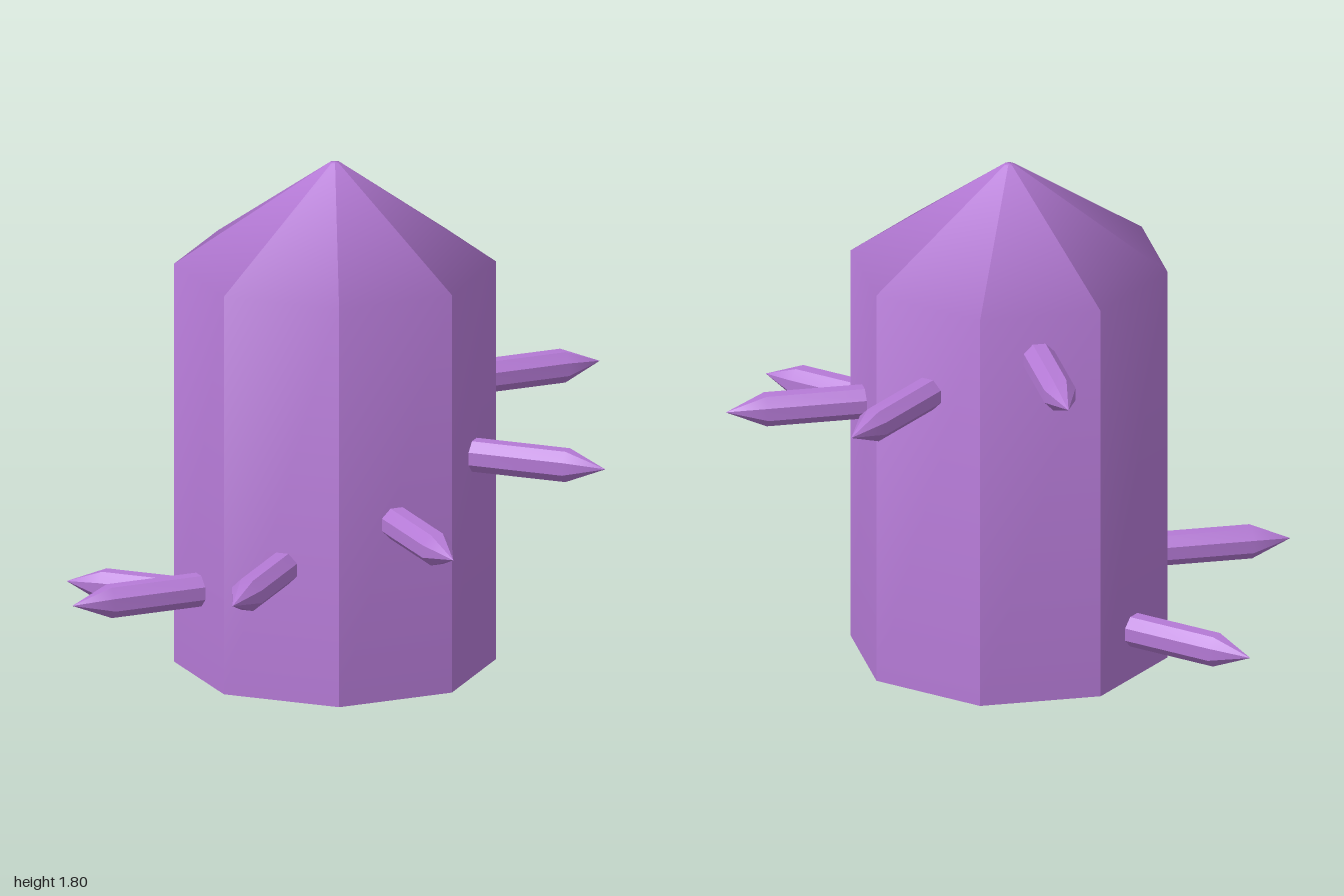
import * as THREE from 'three';

const SIDES = 8;
const FLAT = Math.cos(Math.PI / SIDES); // face distance / corner distance

// Eight-sided crystal along +y: sharp long edges, each side smooth along its length.
// profile: [face distance, height] pairs from base to tip.
function crystalGeometry(profile) {
  const positions = [];
  const indices = [];
  const corner = (i, [d, y]) => {
    const a = ((i - 0.5) / SIDES) * Math.PI * 2;
    const r = d / FLAT;
    return [Math.sin(a) * r, y, Math.cos(a) * r];
  };
  for (let i = 0; i < SIDES; i++) {
    const start = positions.length / 3;
    profile.forEach((p) => positions.push(...corner(i, p), ...corner(i + 1, p)));
    for (let j = 0; j < profile.length - 1; j++) {
      const a = start + j * 2;
      indices.push(a, a + 1, a + 3);
      if (profile[j + 1][0] > 0) indices.push(a, a + 3, a + 2);
    }
  }
  // Flat base
  const centre = positions.length / 3;
  positions.push(0, profile[0][1], 0);
  for (let i = 0; i < SIDES; i++) positions.push(...corner(i, profile[0]));
  for (let i = 0; i < SIDES; i++) {
    indices.push(centre, centre + 1 + ((i + 1) % SIDES), centre + 1 + i);
  }
  const geometry = new THREE.BufferGeometry();
  geometry.setAttribute('position', new THREE.Float32BufferAttribute(positions, 3));
  geometry.setIndex(indices);
  geometry.computeVertexNormals();
  return geometry;
}

export function createModel() {
  const group = new THREE.Group();
  group.name = 'spikedCrystal';
  const material = new THREE.MeshStandardMaterial({ color: 0xb57ad6 });

  // Main column with a pointed top, its very tip cut off
  const column = new THREE.Mesh(
    crystalGeometry([[0.516, 0], [0.516, 1.44], [0.018, 1.803], [0, 1.805]]),
    material
  );
  column.name = 'column';
  column.position.x = -0.004;
  group.add(column);

  // Spikes climbing around the column in a spiral
  const spikeGeometry = crystalGeometry([[0.055, 0.4], [0.055, 0.86], [0, 1]]);
  spikeGeometry.rotateX(Math.PI / 2);
  for (let k = 1; k <= 8; k++) {
    const spike = new THREE.Mesh(spikeGeometry, material);
    spike.name = `spike${k}`;
    spike.position.y = Math.max(0.16 * k, 0.177);
    spike.rotation.y = ((k - 4) * Math.PI) / 4;
    group.add(spike);
  }
  return group;
}
